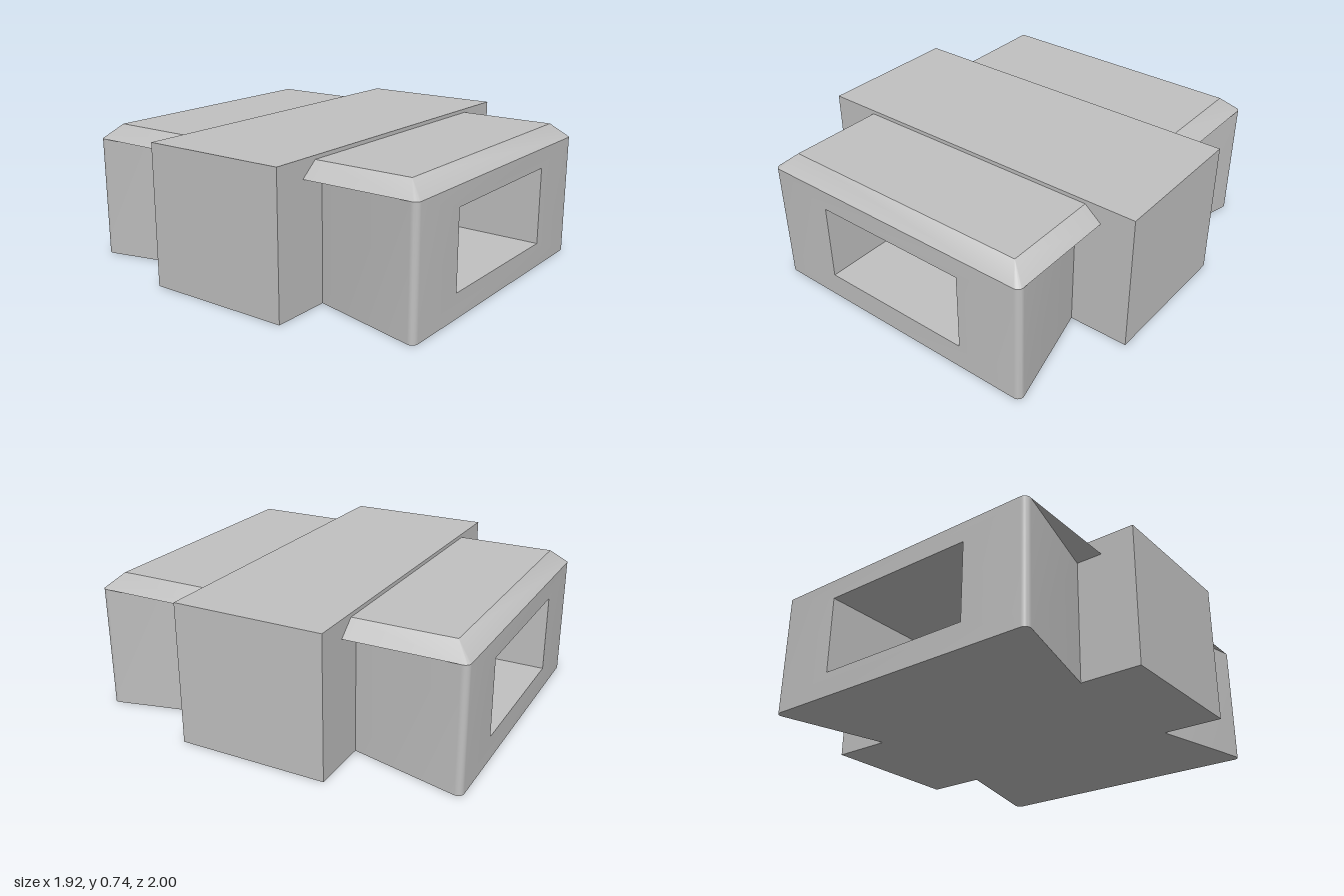
import * as THREE from 'three';
import { toCreasedNormals } from 'three/addons/utils/BufferGeometryUtils.js';

const MID_Z = 0.395, END_Z = 1, END_X = 0.78, NECK_X = 0.64, R = 0.03;
const LID_Y = 0.645, LID_TOP = 0.72, TOP_X = 0.69, TOP_Z = 0.915;

// upright rectangle with the slot that runs through the whole model
function slottedProfile(halfWidth, height) {
  const shape = new THREE.Shape();
  shape.moveTo(-halfWidth, 0).lineTo(halfWidth, 0).lineTo(halfWidth, height).lineTo(-halfWidth, height).closePath();
  const slot = new THREE.Path();
  slot.moveTo(-0.425, 0.13).lineTo(-0.425, 0.54).lineTo(0.425, 0.54).lineTo(0.425, 0.13).closePath();
  shape.holes.push(slot);
  return shape;
}

// end block: sides flare from the neck to a rounded vertical corner
function endBlockGeometry() {
  const rows = [[NECK_X, MID_Z]];
  for (let i = 0; i <= 6; i++) {
    const a = (103 - i * 103 / 6) * Math.PI / 180;
    rows.push([END_X - R + R * Math.sin(a), END_Z - R + R * Math.cos(a)]);
  }
  const steps = rows.length - 1;
  const geo = new THREE.ExtrudeGeometry(slottedProfile(END_X, LID_Y), { depth: 1, steps, bevelEnabled: false });
  const p = geo.attributes.position;
  for (let i = 0; i < p.count; i++) {
    const [halfWidth, z] = rows[Math.round(p.getZ(i) * steps)];
    if (Math.abs(p.getX(i)) > 0.5) p.setX(i, Math.sign(p.getX(i)) * halfWidth);
    p.setZ(i, z);
  }
  return toCreasedNormals(geo, 0.5);
}

// lid: rounded plan outline whose upper edge is pulled in to form the slopes
function lidGeometry() {
  const s = new THREE.Shape();
  s.moveTo(END_X, -MID_Z).lineTo(-END_X, -MID_Z).lineTo(-END_X, -END_Z + R);
  s.absarc(-END_X + R, -END_Z + R, R, Math.PI, Math.PI * 1.5, false);
  s.absarc(END_X - R, -END_Z + R, R, Math.PI * 1.5, Math.PI * 2, false);
  s.closePath();
  const geo = new THREE.ExtrudeGeometry(s, { depth: LID_TOP - LID_Y, bevelEnabled: false, curveSegments: 6 });
  geo.rotateX(-Math.PI / 2).translate(0, LID_Y, 0);
  const p = geo.attributes.position;
  for (let i = 0; i < p.count; i++) {
    if (p.getY(i) < LID_TOP - 0.01) continue;
    p.setX(i, THREE.MathUtils.clamp(p.getX(i), -TOP_X, TOP_X));
    p.setZ(i, Math.min(p.getZ(i), TOP_Z));
  }
  return toCreasedNormals(geo, 0.5);
}

export function createModel() {
  const model = new THREE.Group();
  model.name = 'slottedBlock';
  const grey = new THREE.MeshStandardMaterial({ color: 0xc0c0c0 });
  grey.name = 'lightGrey';

  const add = (parent, name, geo) => {
    const mesh = new THREE.Mesh(geo, grey);
    mesh.name = name;
    parent.add(mesh);
  };

  // wide middle block
  const mid = new THREE.ExtrudeGeometry(slottedProfile(0.96, 0.74), { depth: MID_Z * 2, bevelEnabled: false });
  add(model, 'middleBlock', mid.translate(0, 0, -MID_Z));

  // matching ends at front and back
  const block = endBlockGeometry(), lid = lidGeometry();
  ['front', 'back'].forEach((side, i) => {
    const end = new THREE.Group();
    end.name = side + 'End';
    end.rotation.y = i * Math.PI;
    add(end, side + 'Block', block);
    add(end, side + 'Lid', lid);
    model.add(end);
  });
  return model;
}
